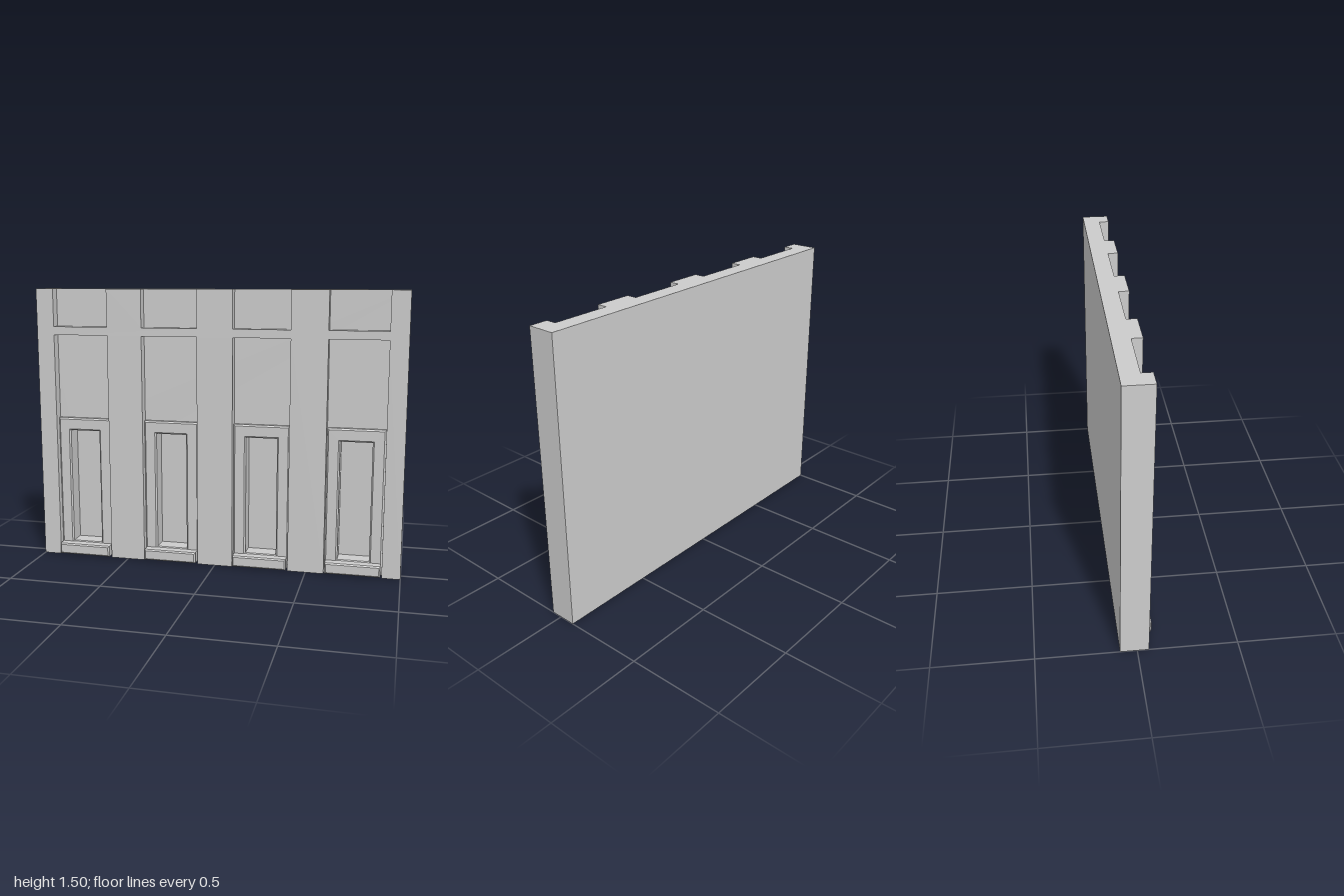
import * as THREE from 'three';

const material = new THREE.MeshStandardMaterial({ color: 0xcccccc, flatShading: true });
const centres = [-0.75, -0.25, 0.25, 0.75];
const WALL = { back: -0.085, front: 0.058, height: 1.5 };
const RECESS = { half: 0.153, z: 0.005, low: 1.25, high: 1.295 };
const WINDOW = { half: 0.084, bottom: 0.075, top: 0.717, z: -0.065 };

function rect(x0, y0, x1, y1, Type = THREE.Shape) {
  return new Type([[x0, y0], [x1, y0], [x1, y1], [x0, y1]].map(p => new THREE.Vector2(...p)));
}

function windowHole(x) {
  return rect(x - WINDOW.half, WINDOW.bottom, x + WINDOW.half, WINDOW.top, THREE.Path);
}

// Extrude a shape from z0 to z1, with an optional chamfer cut into its edges
function slab(name, shape, z0, z1, bevel = 0) {
  const geometry = new THREE.ExtrudeGeometry(shape, {
    depth: z1 - z0 - 2 * bevel, bevelEnabled: bevel > 0, bevelSegments: 1,
    bevelSize: bevel, bevelThickness: bevel, bevelOffset: -bevel,
  });
  geometry.translate(0, 0, z0 + bevel);
  const mesh = new THREE.Mesh(geometry, material);
  mesh.name = name;
  return mesh;
}

export function createModel() {
  const model = new THREE.Group();
  model.name = 'wallPanel';

  // Solid back of the wall
  model.add(slab('wallBack', rect(-1, 0, 1, WALL.height), WALL.back, WINDOW.z));

  // Middle layer, pierced by the deep windows
  const core = rect(-1, 0, 1, WALL.height);
  core.holes = centres.map(windowHole);
  model.add(slab('wallCore', core, WINDOW.z, RECESS.z));

  // Front layer: piers joined by a narrow rail, with bays notched from below and above
  const face = new THREE.Shape();
  face.moveTo(-1, 0);
  const notch = (x, dir, edge, inner) => {
    const a = x - dir * RECESS.half, b = x + dir * RECESS.half;
    face.lineTo(a, edge);
    face.lineTo(a, inner);
    face.lineTo(b, inner);
    face.lineTo(b, edge);
  };
  centres.forEach(x => notch(x, 1, 0, RECESS.low));
  face.lineTo(1, 0);
  face.lineTo(1, WALL.height);
  [...centres].reverse().forEach(x => notch(x, -1, WALL.height, RECESS.high));
  face.lineTo(-1, WALL.height);
  model.add(slab('piersAndRail', face, RECESS.z, WALL.front));

  // Chamfered window frame and projecting sill in each bay
  for (const x of centres) {
    const bay = new THREE.Group();
    bay.name = 'windowBay';
    const frame = rect(x - 0.152, 0.004, x + 0.152, 0.787);
    frame.holes = [windowHole(x)];
    bay.add(slab('windowFrame', frame, RECESS.z - 0.008, 0.032, 0.008));
    bay.add(slab('sill', rect(x - 0.146, 0.01, x + 0.146, 0.07), 0.01, 0.085, 0.007));
    model.add(bay);
  }
  return model;
}
